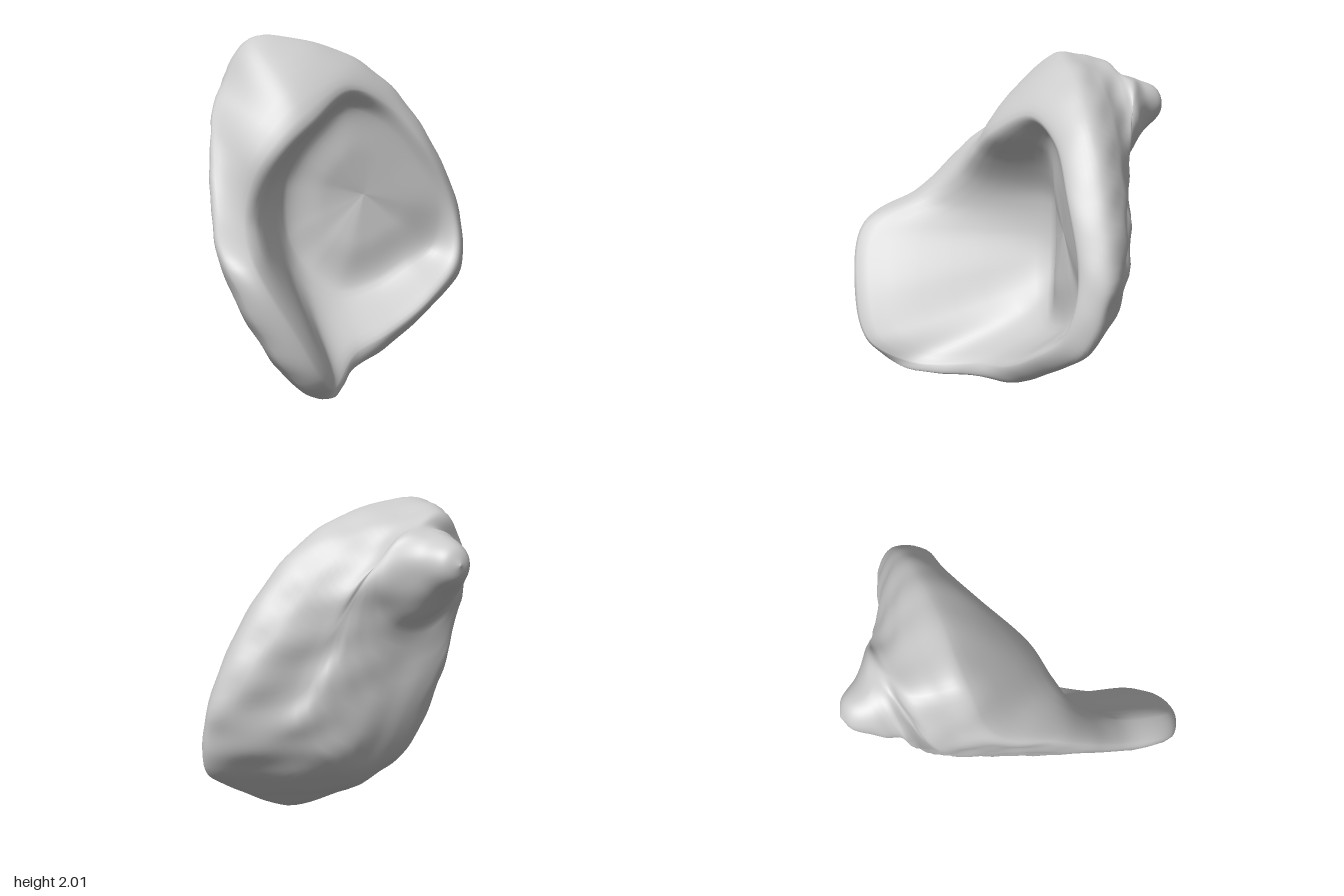
import * as THREE from 'three';

const V = (x, y, z) => new THREE.Vector3(x, y, z);
const SIDES = 16; // control points per ring, counted from the top towards the outer lip

// Rings run around the shell as flat lists of x, y, z
const toRing = (a) => Array.from({ length: SIDES }, (_, i) => V(a[3 * i], a[3 * i + 1], a[3 * i + 2]));

// Round ring facing the spire axis
const circle = (x, y, z, r, tilt = 0) => Array.from({ length: SIDES }, (_, i) => {
  const t = Math.PI / 2 + (i / SIDES) * Math.PI * 2;
  return V(x + r * Math.cos(t), y + r * Math.sin(t), z + tilt * Math.sin(t));
});

// Back of the body whorl, around the foot of the spire
const shoulder = toRing([
  -0.37, 1.94, -0.62, -0.58, 1.67, -0.59, -0.61, 1.36, -0.5, -0.55, 1.1, -0.44,
  -0.47, 0.88, -0.48, -0.37, 0.68, -0.5, -0.24, 0.54, -0.51, -0.08, 0.49, -0.52,
  0.05, 0.48, -0.52, 0.2, 0.54, -0.54, 0.38, 0.65, -0.53, 0.5, 0.78, -0.51,
  0.49, 0.95, -0.49, 0.38, 1.25, -0.53, 0.2, 1.58, -0.6, -0.08, 1.85, -0.62]);

// Widest part of the body, behind the outline
const body = toRing([
  -0.43, 1.97, -0.47, -0.63, 1.65, -0.44, -0.7, 1.37, -0.24, -0.72, 1.12, -0.06,
  -0.72, 0.85, 0.08, -0.61, 0.52, 0.12, -0.44, 0.25, 0.13, -0.22, 0.12, 0.1,
  0.02, 0.13, -0.03, 0.25, 0.19, -0.13, 0.52, 0.36, -0.25, 0.79, 0.58, -0.3,
  0.82, 0.88, -0.37, 0.6, 1.3, -0.44, 0.28, 1.7, -0.47, -0.05, 1.91, -0.47]);

// Outer edge of the shell
const outline = toRing([
  -0.45, 1.98, -0.31, -0.67, 1.67, -0.25, -0.81, 1.45, 0.07, -0.89, 1.08, 0.46,
  -0.93, 0.85, 0.82, -0.75, 0.45, 0.91, -0.53, 0.14, 0.88, -0.31, 0.015, 0.74,
  0, 0.03, 0.3, 0.26, 0.07, 0.14, 0.6, 0.26, 0.02, 0.89, 0.47, -0.12,
  0.93, 0.83, -0.24, 0.71, 1.35, -0.28, 0.36, 1.76, -0.28, 0, 1.94, -0.28]);

// Crest of the lip around the mouth
const lip = toRing([
  -0.23, 1.53, 0.16, -0.43, 1.38, 0.22, -0.59, 1.22, 0.3, -0.72, 1.04, 0.52,
  -0.77, 0.85, 0.88, -0.56, 0.46, 0.97, -0.4, 0.18, 0.92, -0.25, 0.06, 0.66,
  0.02, 0.12, 0.28, 0.27, 0.19, 0.19, 0.58, 0.35, 0.1, 0.83, 0.57, -0.03,
  0.84, 0.88, -0.11, 0.63, 1.3, -0.1, 0.36, 1.58, -0.1, 0.08, 1.69, -0.02]);

// Valley where the inner wall meets the flat inner face
const valley = toRing([
  -0.06, 1.43, -0.17, -0.18, 1.28, -0.21, -0.26, 1.12, -0.25, -0.28, 1, -0.26,
  -0.28, 0.85, -0.26, -0.26, 0.72, -0.25, -0.2, 0.58, -0.23, -0.1, 0.46, -0.19,
  0.07, 0.38, -0.15, 0.3, 0.42, -0.15, 0.52, 0.53, -0.16, 0.7, 0.63, -0.17,
  0.73, 0.9, -0.13, 0.54, 1.25, -0.13, 0.31, 1.48, -0.14, 0.1, 1.55, -0.15]);

const rings = [
  circle(-0.25, 1.69, -0.985, 0.001),
  circle(-0.25, 1.69, -0.945, 0.09, 0.01),
  circle(-0.25, 1.66, -0.82, 0.175, 0.01),
  circle(-0.2, 1.56, -0.69, 0.31, -0.02),
  shoulder, body, outline, lip, valley,
  valley.map((p) => p.clone().lerp(V(0.24, 1, -0.19), 0.5)),
  circle(0.24, 1, -0.19, 0.001),
];

export function createModel() {
  const ROWS = 8, COLS = 144, last = rings.length - 1, rows = last * ROWS;
  const curves = rings.map((r) => new THREE.CatmullRomCurve3(r, true));
  const pos = new Float32Array((rows + 1) * COLS * 3);

  // Smooth skin across all rings, from the spire tip to the inside of the mouth
  for (let j = 0; j < COLS; j++) {
    const rib = new THREE.CatmullRomCurve3(curves.map((c) => c.getPoint(j / COLS)));
    for (let i = 0; i <= rows; i++) rib.getPoint(i / rows).toArray(pos, (i * COLS + j) * 3);
  }
  const index = [];
  for (let i = 0; i < rows; i++) {
    for (let j = 0; j < COLS; j++) {
      const k = (j + 1) % COLS, a = i * COLS, b = a + COLS;
      index.push(a + j, a + k, b + k, a + j, b + k, b + j);
    }
  }
  const skin = new THREE.BufferGeometry();
  skin.setAttribute('position', new THREE.BufferAttribute(pos, 3));
  skin.setIndex(index);
  skin.computeVertexNormals();

  // Spiral groove around the spire and soft weathered bumps on the outside
  const n = skin.attributes.normal;
  for (let i = ROWS; i <= 7 * ROWS; i++) {
    const u = i / ROWS, fade = Math.sin((Math.PI * (u - 1)) / 6);
    for (let j = 0; j < COLS; j++) {
      const v = j / COLS, id = i * COLS + j;
      const x = pos[id * 3], y = pos[id * 3 + 1], z = pos[id * 3 + 2];
      const groove = 0.035 * Math.sin(Math.PI * v) * Math.exp(-(((u - 2.2 - 1.3 * v) / 0.3) ** 2));
      const bumps = 0.009 * Math.sin(13 * x + 4 * z) * Math.sin(15 * y - 3 * x)
        + 0.006 * Math.sin(27 * y + 9 * z) * Math.sin(21 * z - 6 * x);
      const d = bumps * fade - groove;
      pos[id * 3] += n.getX(id) * d;
      pos[id * 3 + 1] += n.getY(id) * d;
      pos[id * 3 + 2] += n.getZ(id) * d;
    }
  }
  skin.computeVertexNormals();

  // All parts share the skin, so shading stays smooth over the lip
  const material = new THREE.MeshStandardMaterial({ color: 0xcccccc });
  const group = new THREE.Group();
  group.name = 'seaShell';
  const addPart = (name, from, to) => {
    const g = new THREE.BufferGeometry();
    g.setAttribute('position', skin.attributes.position);
    g.setAttribute('normal', skin.attributes.normal);
    g.setIndex(index.slice(from * ROWS * COLS * 6, to * ROWS * COLS * 6));
    const mesh = new THREE.Mesh(g, material);
    mesh.name = name;
    group.add(mesh);
  };
  addPart('spire', 0, 4);
  addPart('bodyWhorl', 4, 6);
  addPart('lip', 6, 7);
  addPart('mouth', 7, last);
  return group;
}
